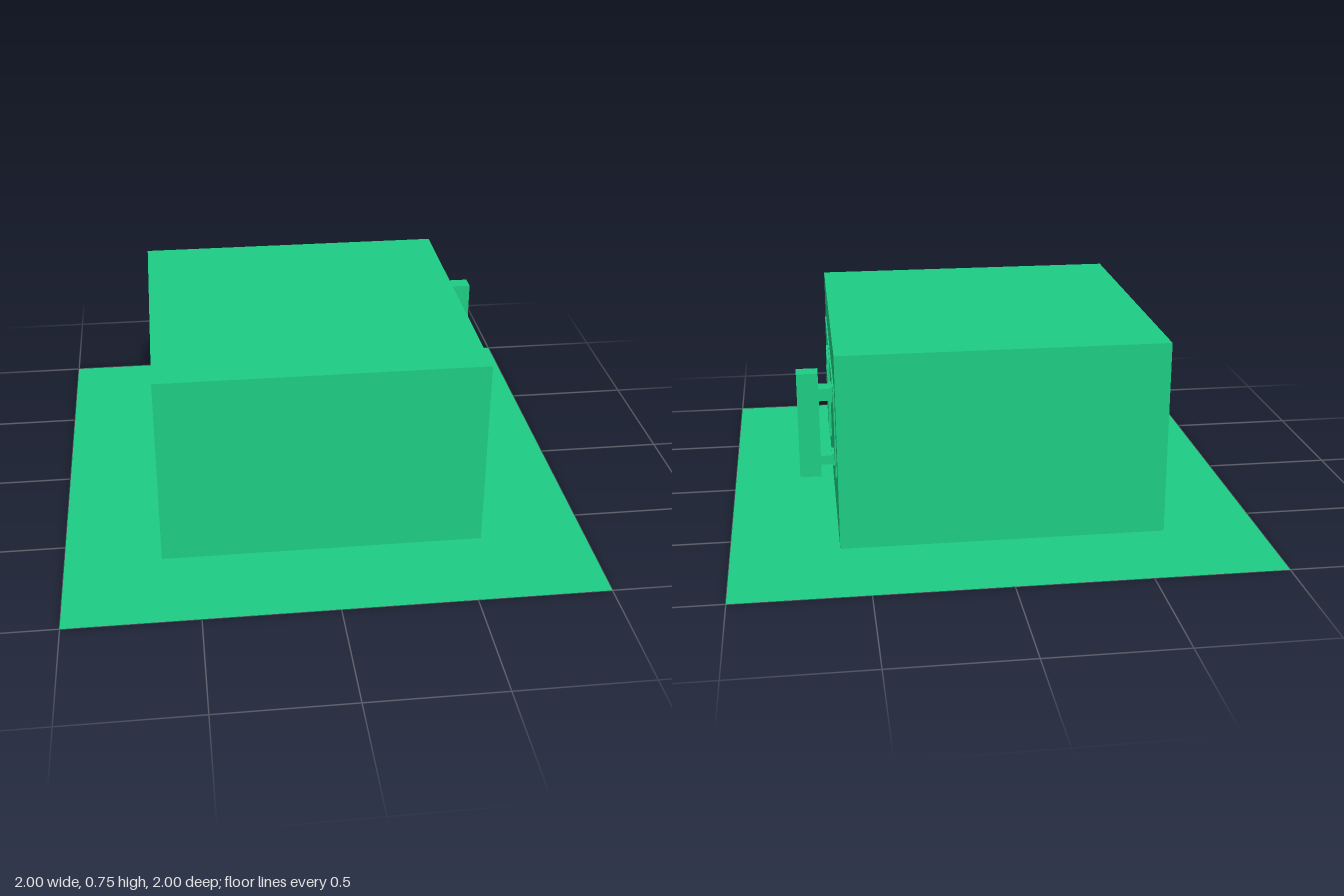
import * as THREE from 'three';

export function createModel() {
  const model = new THREE.Group();
  const material = new THREE.MeshStandardMaterial({ color: 0x1dcc83 });

  // Box given by its min and max corners
  function box(name, [x0, y0, z0], [x1, y1, z1], parent = model) {
    const mesh = new THREE.Mesh(new THREE.BoxGeometry(x1 - x0, y1 - y0, z1 - z0), material);
    mesh.position.set((x0 + x1) / 2, (y0 + y1) / 2, (z0 + z1) / 2);
    mesh.name = name;
    parent.add(mesh);
    return mesh;
  }

  // Thin square sheet the safe stands on
  const sheetMaterial = material.clone();
  sheetMaterial.side = THREE.DoubleSide;
  const sheet = new THREE.Mesh(new THREE.PlaneGeometry(2, 2).rotateX(-Math.PI / 2), sheetMaterial);
  sheet.name = 'baseSheet';
  model.add(sheet);

  // Safe body, with the door slightly proud of its left side
  box('body', [-0.635, 0.001, -0.616], [0.596, 0.75, 0.617]);
  box('door', [0.58, 0.24, -0.505], [0.601, 0.585, 0.495]);

  // Keypad: back plate, rim, display and a 3 by 4 grid of keys
  const keypad = new THREE.Group();
  keypad.name = 'keypad';
  model.add(keypad);
  box('keypadPlate', [0.59, 0.25, -0.085], [0.604, 0.57, 0.118], keypad);
  for (const z of [-0.085, 0.108]) box('keypadSideRim', [0.59, 0.25, z], [0.609, 0.57, z + 0.01], keypad);
  for (const y of [0.25, 0.5, 0.56]) box('keypadCrossRim', [0.59, y, -0.085], [0.609, y + 0.01, 0.118], keypad);
  for (let row = 0; row < 4; row++) {
    for (let col = 0; col < 3; col++) {
      const y = 0.275 + row * 0.056, z = -0.064 + col * 0.056;
      box('key', [0.6, y, z], [0.611, y + 0.05, z + 0.05], keypad);
    }
  }

  // Door handle: upright bar on two arms with small wall flanges
  const handle = new THREE.Group();
  handle.name = 'handle';
  model.add(handle);
  box('handleBar', [0.652, 0.22, -0.432], [0.732, 0.628, -0.366], handle);
  for (const [low, high] of [[0.267, 0.302], [0.52, 0.567]]) {
    box('handleArm', [0.59, low, -0.432], [0.655, high, -0.366], handle);
    box('handleFlange', [0.59, low - 0.006, -0.432], [0.61, high + 0.006, -0.366], handle);
  }

  return model;
}
